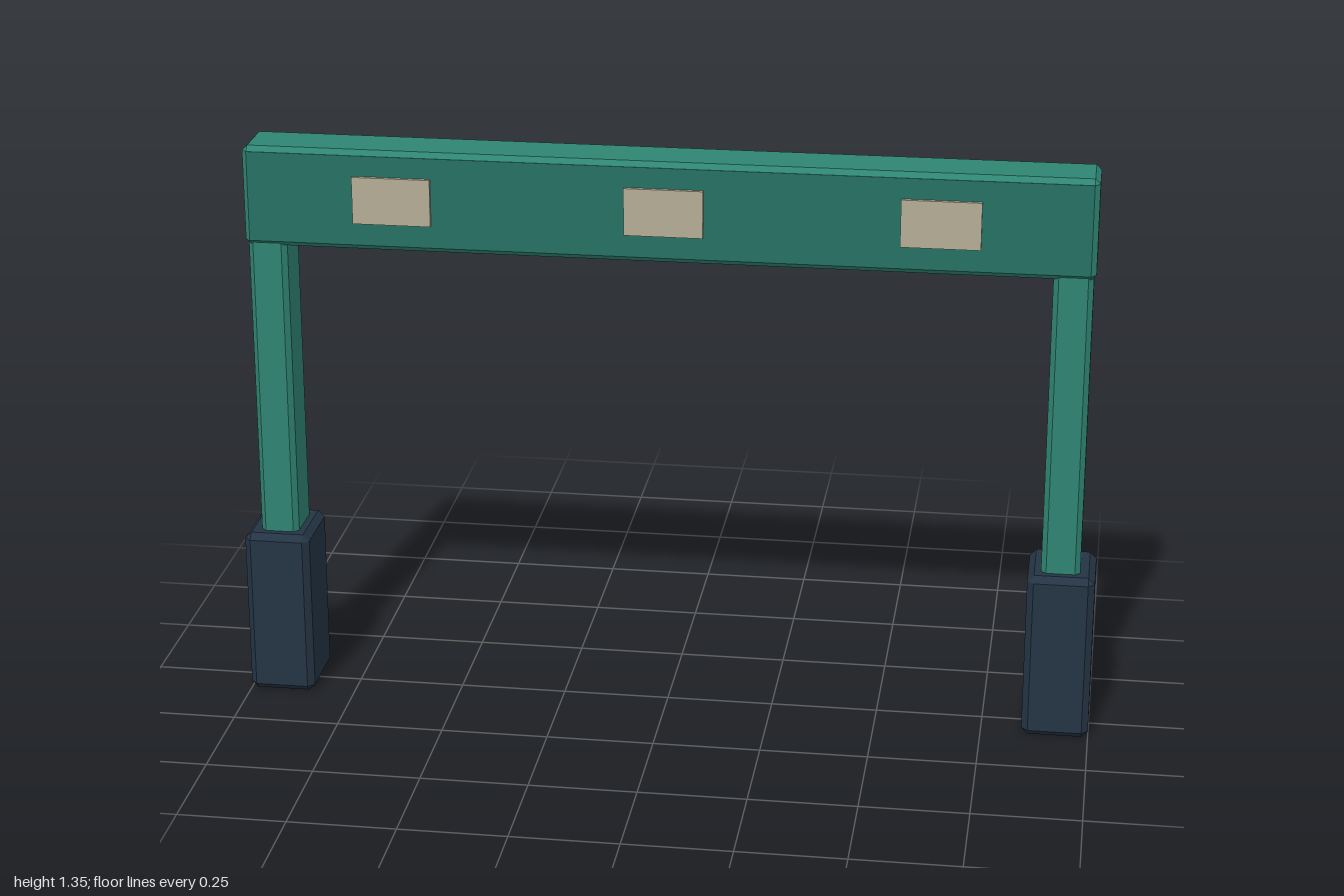
import * as THREE from 'three';
import { ConvexGeometry } from 'three/addons/geometries/ConvexGeometry.js';

const material = (color) => new THREE.MeshStandardMaterial({ color, flatShading: true });

// Box with every edge cut by a flat chamfer of width b
function chamferBox(w, h, d, b) {
  const points = [];
  for (const sx of [-1, 1]) for (const sy of [-1, 1]) for (const sz of [-1, 1]) {
    const x = w / 2, y = h / 2, z = d / 2;
    points.push(
      new THREE.Vector3(sx * x, sy * (y - b), sz * (z - b)),
      new THREE.Vector3(sx * (x - b), sy * y, sz * (z - b)),
      new THREE.Vector3(sx * (x - b), sy * (y - b), sz * z));
  }
  return new ConvexGeometry(points);
}

export function createModel() {
  const group = new THREE.Group();
  const green = material(0x2f8573);
  const darkGreen = material(0x277264);
  const navy = material(0x243444);
  const beige = material(0xb5ad96);

  const add = (name, geometry, mat, x, y, z) => {
    const mesh = new THREE.Mesh(geometry, mat);
    mesh.name = name;
    mesh.position.set(x, y, z);
    group.add(mesh);
  };

  // Posts run through the protective feet down to the ground
  for (const side of [-1, 1]) {
    const label = side > 0 ? 'left' : 'right';
    add(label + 'Post', chamferBox(0.09, 1.16, 0.125, 0.012), green, side * 0.92, 0.58, 0);
    add(label + 'Foot', chamferBox(0.155, 0.403, 0.186, 0.015), navy, side * 0.9225, 0.2025, 0);
  }

  // Cross beam with a darker front face
  add('beam', chamferBox(1.94, 0.235, 0.138, 0.012), green, 0, 1.2325, 0);
  add('beamFront', new THREE.BoxGeometry(1.916, 0.211, 0.004), darkGreen, 0, 1.2325, 0.068);

  // Panels on the front of the beam
  for (const i of [-1, 0, 1]) {
    add('frontPanel', new THREE.BoxGeometry(0.18, 0.11, 0.02), beige, i * 0.623, 1.235, 0.069);
  }
  return group;
}
